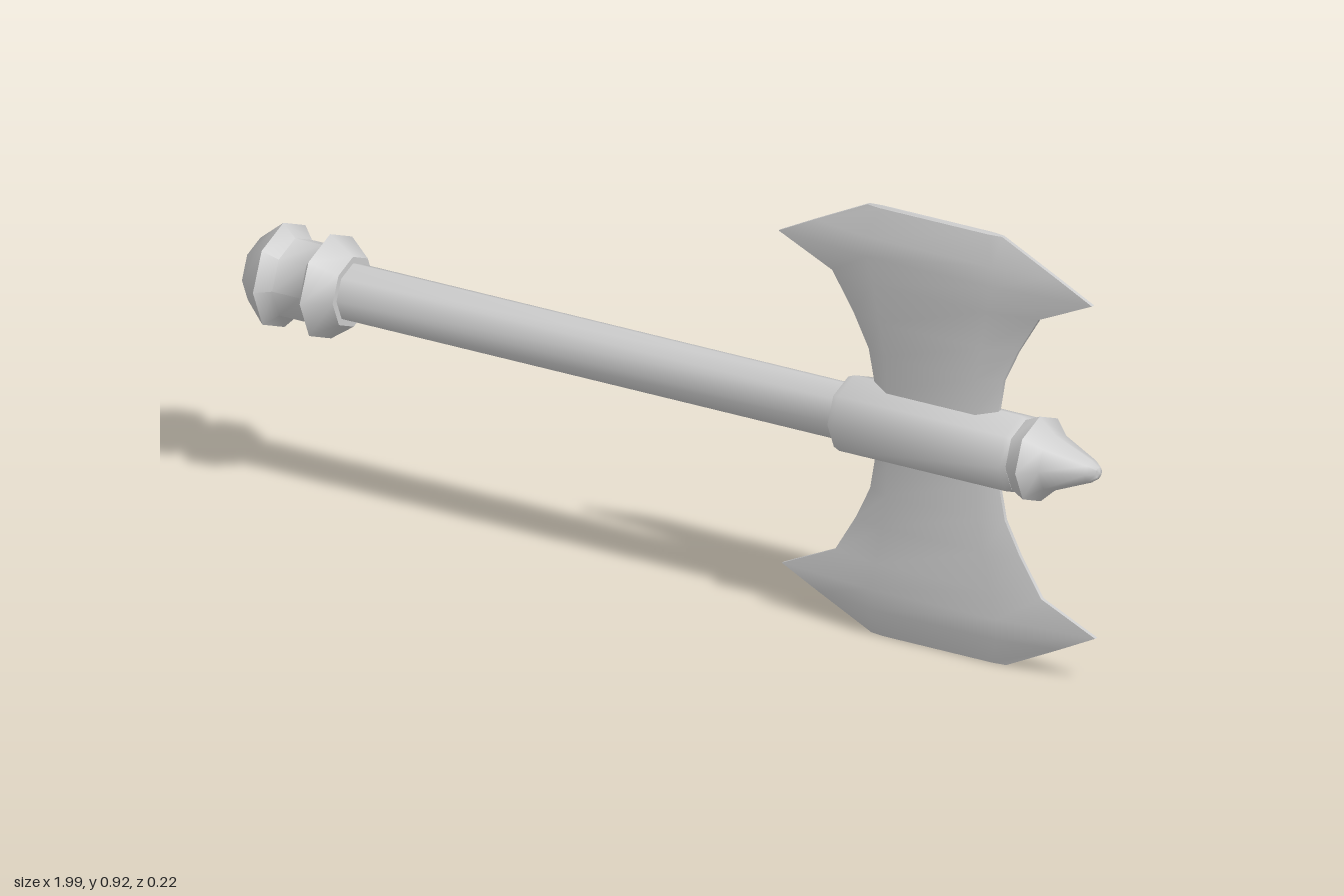
import * as THREE from 'three';
import { toCreasedNormals } from 'three/addons/utils/BufferGeometryUtils.js';

const material = new THREE.MeshStandardMaterial({ color: 0xcccccc, roughness: 0.8 });

function addMesh(group, name, geometry, crease) {
  const mesh = new THREE.Mesh(toCreasedNormals(geometry, crease), material);
  mesh.name = name;
  group.add(mesh);
}

// Eight-sided turned part along x; profile is a list of [x, radius]
function turned(profile) {
  const points = profile.map(([x, r]) => new THREE.Vector2(r, x));
  return new THREE.LatheGeometry(points, 8).rotateZ(-Math.PI / 2);
}

// Double blade: lens-like sections lofted along y.
// Each row is [y, half width, half width of the thick middle, half thickness]
function bladeGeometry() {
  const upper = [
    [0.08, 0.147, 0.105, 0.025],
    [0.15, 0.16, 0.11, 0.025],
    [0.22, 0.195, 0.12, 0.025],
    [0.30, 0.245, 0.135, 0.025],
    [0.357, 0.372, 0.15, 0.026],
    [0.40, 0.285, 0.15, 0.026],
    [0.46, 0.16, 0.13, 0.008],
  ];
  const lower = upper.map(([y, ...rest]) => [-y, ...rest]).reverse();
  const rows = [...lower, ...upper];
  const rim = 0.004;
  const positions = [];
  const index = [];
  for (const [y, w, p, t] of rows) {
    const section = [[w, rim], [p, t], [-p, t], [-w, rim], [-w, -rim], [-p, -t], [p, -t], [w, -rim]];
    for (const [x, z] of section) positions.push(x, y, z);
  }
  for (let r = 0; r < rows.length - 1; r++) {
    for (let i = 0; i < 8; i++) {
      const a = r * 8 + i;
      const b = r * 8 + (i + 1) % 8;
      index.push(a, a + 8, b, b, a + 8, b + 8);
    }
  }
  // Thin caps at both cutting edges
  const last = (rows.length - 1) * 8;
  for (let i = 1; i < 7; i++) {
    index.push(0, i, i + 1);
    index.push(last, last + i + 1, last + i);
  }
  const geometry = new THREE.BufferGeometry();
  geometry.setAttribute('position', new THREE.Float32BufferAttribute(positions, 3));
  geometry.setIndex(index);
  return geometry.translate(0.61, 0, 0);
}

export function createModel() {
  const axe = new THREE.Group();
  axe.name = 'doubleAxe';

  // Grip end with two ridges
  addMesh(axe, 'pommel', turned([
    [-0.998, 0], [-0.998, 0.068], [-0.943, 0.112], [-0.915, 0.085],
    [-0.85, 0.085], [-0.832, 0.112], [-0.778, 0.075], [-0.778, 0],
  ]), 1.0);

  addMesh(axe, 'shaft', turned([[-0.79, 0.061], [0.42, 0.061]]), 0.9);

  // Sleeve that holds the blades
  addMesh(axe, 'collar', turned([
    [0.398, 0], [0.398, 0.077], [0.413, 0.083], [0.808, 0.083], [0.82, 0.077], [0.82, 0],
  ]), 0.9);

  // Flange and pointed tip
  addMesh(axe, 'spike', turned([
    [0.815, 0], [0.815, 0.074], [0.853, 0.091], [0.888, 0.06],
    [0.975, 0.024], [0.992, 0.012], [0.996, 0],
  ]), 0.9);

  addMesh(axe, 'blades', bladeGeometry(), 0.9);

  // Slight roll and yaw of the resting weapon
  axe.rotation.set(0.016, 0.006, 0);
  axe.position.set(0, 0.462, -0.004);

  const model = new THREE.Group();
  model.name = 'axe';
  model.add(axe);
  return model;
}
